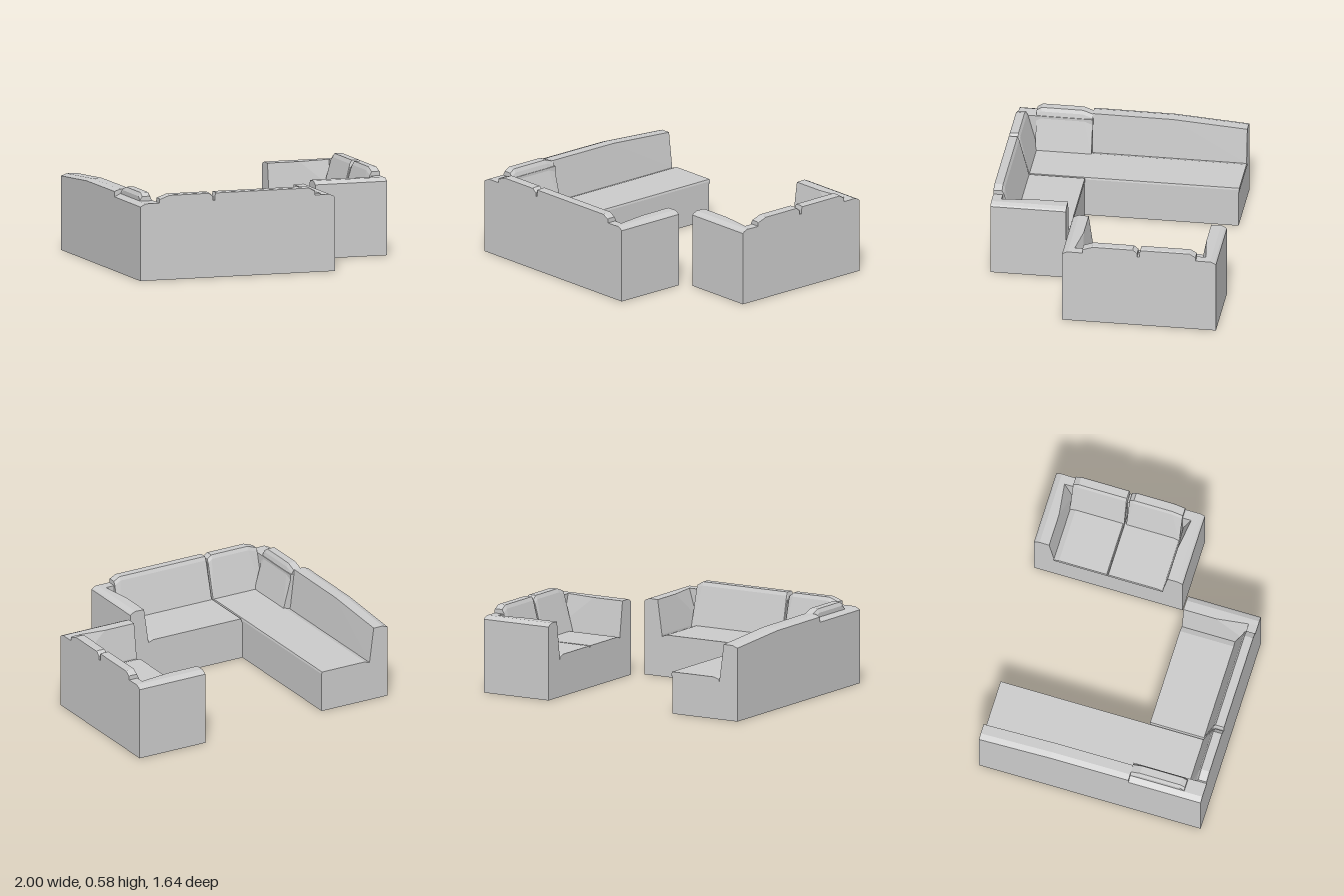
import * as THREE from 'three';
import { ConvexGeometry } from 'three/addons/geometries/ConvexGeometry.js';

const material = new THREE.MeshStandardMaterial({ color: 0xcccccc, flatShading: true });

// Faceted solid wrapped around a few corner points
function solid(parent, name, points) {
  const mesh = new THREE.Mesh(new ConvexGeometry(points.map((p) => new THREE.Vector3(...p))), material);
  mesh.name = name;
  parent.add(mesh);
}

function block(parent, name, x0, x1, y0, y1, z0, z1) {
  const mesh = new THREE.Mesh(new THREE.BoxGeometry(x1 - x0, y1 - y0, z1 - z0), material);
  mesh.position.set((x0 + x1) / 2, (y0 + y1) / 2, (z0 + z1) / 2);
  mesh.name = name;
  parent.add(mesh);
}

// Sofas are built facing +z, with the back at z = -0.26 and the front at z = 0.26.
// Arm: bevelled outer edge, leaning inner face that flares outward near the back
function arm(parent, name, outer, side) {
  const section = (z, inner) => [
    [outer, 0, z], [outer, 0.51, z], [outer - side * 0.012, 0.52, z], [outer - side * 0.04, 0.532, z],
    [outer - side * inner, 0.53, z], [outer - side * 0.142, 0.29, z], [outer - side * 0.142, 0, z],
  ];
  solid(parent, name, [...section(0.26, 0.108), ...section(0.03, 0.108), ...section(-0.195, 0.07), ...section(-0.26, 0.07)]);
}

// Leaning back cushion with a chamfer of its own width at each end
function backCushion(parent, x0, x1, bevel0, bevel1) {
  const section = (x, top) => [
    [x, 0.27, -0.26], [x, 0.27, -0.115], [x, top - 0.025, -0.187],
    [x, top, -0.2], [x, top, -0.252], [x, top - 0.005, -0.26],
  ];
  solid(parent, 'backCushion', [
    ...section(x0, 0.56), ...section(x0 + bevel0, 0.585),
    ...section(x1 - bevel1, 0.585), ...section(x1, 0.56),
  ]);
}

// Seat cushion with its side edges bevelled down toward the arms
function seatCushion(parent, x0, x1, z0, z1, bevel0, bevel1) {
  const points = [];
  for (const z of [z0, z1]) {
    points.push([x0, 0.262, z], [x0, 0.278, z], [x0 + bevel0, 0.292, z],
      [x1 - bevel1, 0.292, z], [x1, 0.278, z], [x1, 0.262, z]);
  }
  solid(parent, 'seatCushion', points);
}

function createLoveseat() {
  const sofa = new THREE.Group();
  sofa.name = 'loveseat';
  block(sofa, 'base', -0.39, 0.39, 0, 0.264, -0.26, 0.26);
  block(sofa, 'backPanel', -0.47, 0.47, 0, 0.53, -0.26, -0.195);
  for (const side of [-1, 1]) arm(sofa, side < 0 ? 'rightArm' : 'leftArm', side * 0.53, side);
  seatCushion(sofa, -0.39, -0.007, -0.2, 0.265, 0.04, 0.004);
  seatCushion(sofa, -0.003, 0.39, -0.2, 0.265, 0.004, 0.04);
  backCushion(sofa, -0.39, -0.003, 0.04, 0.006);
  backCushion(sofa, 0.012, 0.39, 0.03, 0.07);
  sofa.rotation.y = -Math.PI / 2;
  sofa.position.set(0.74, 0, -0.29);
  return sofa;
}

function createLongSofa() {
  const sofa = new THREE.Group();
  sofa.name = 'longSofa';
  block(sofa, 'base', -0.27, 0.99, 0, 0.264, -0.26, 0.26);
  block(sofa, 'backPanel', -0.34, 0.96, 0, 0.53, -0.26, -0.195);
  arm(sofa, 'sideArm', -0.41, -1);
  seatCushion(sofa, -0.268, 0.468, -0.2, 0.263, 0.04, 0.004);
  backCushion(sofa, -0.268, 0.46, 0.045, 0.006);
  backCushion(sofa, 0.472, 0.86, 0.03, 0.07);
  sofa.rotation.y = Math.PI;
  sofa.position.set(0, 0, 0.56);
  return sofa;
}

// Corner and chaise are built directly in place
function createChaise() {
  const chaise = new THREE.Group();
  chaise.name = 'chaise';
  block(chaise, 'base', -0.86, -0.478, 0, 0.264, -0.76, 0.31);
  seatCushion(chaise, -0.855, -0.474, -0.765, 0.7, 0.04, 0.004);

  // Side back, dropping gently toward its free end
  const section = (z, h) => [
    [-1, 0, z], [-1, h - 0.015, z], [-0.96, h, z], [-0.89, h, z], [-0.857, 0.28, z], [-0.857, 0, z],
  ];
  solid(chaise, 'sideBack', [...section(-0.76, 0.525), ...section(-0.25, 0.56), ...section(0.305, 0.562)]);

  // Corner wall behind the corner cushion
  const wall = [];
  for (const z of [0.3, 0.82]) {
    wall.push([-1, 0, z], [-1, 0.51, z], [-0.96, 0.53, z], [-0.86, 0.53, z], [-0.86, 0, z]);
  }
  solid(chaise, 'cornerWall', wall);

  // Corner cushion leaning on the wall
  const cushion = [];
  for (const [z, h] of [[0.302, 0.56], [0.37, 0.585], [0.655, 0.585], [0.69, 0.562]]) {
    cushion.push([-0.955, 0.27, z], [-0.955, h - 0.025, z], [-0.94, h, z],
      [-0.885, h, z], [-0.872, h - 0.025, z], [-0.8, 0.27, z]);
  }
  solid(chaise, 'cornerCushion', cushion);
  return chaise;
}

export function createModel() {
  const model = new THREE.Group();
  model.name = 'sofaSet';
  model.add(createLoveseat(), createLongSofa(), createChaise());
  return model;
}
